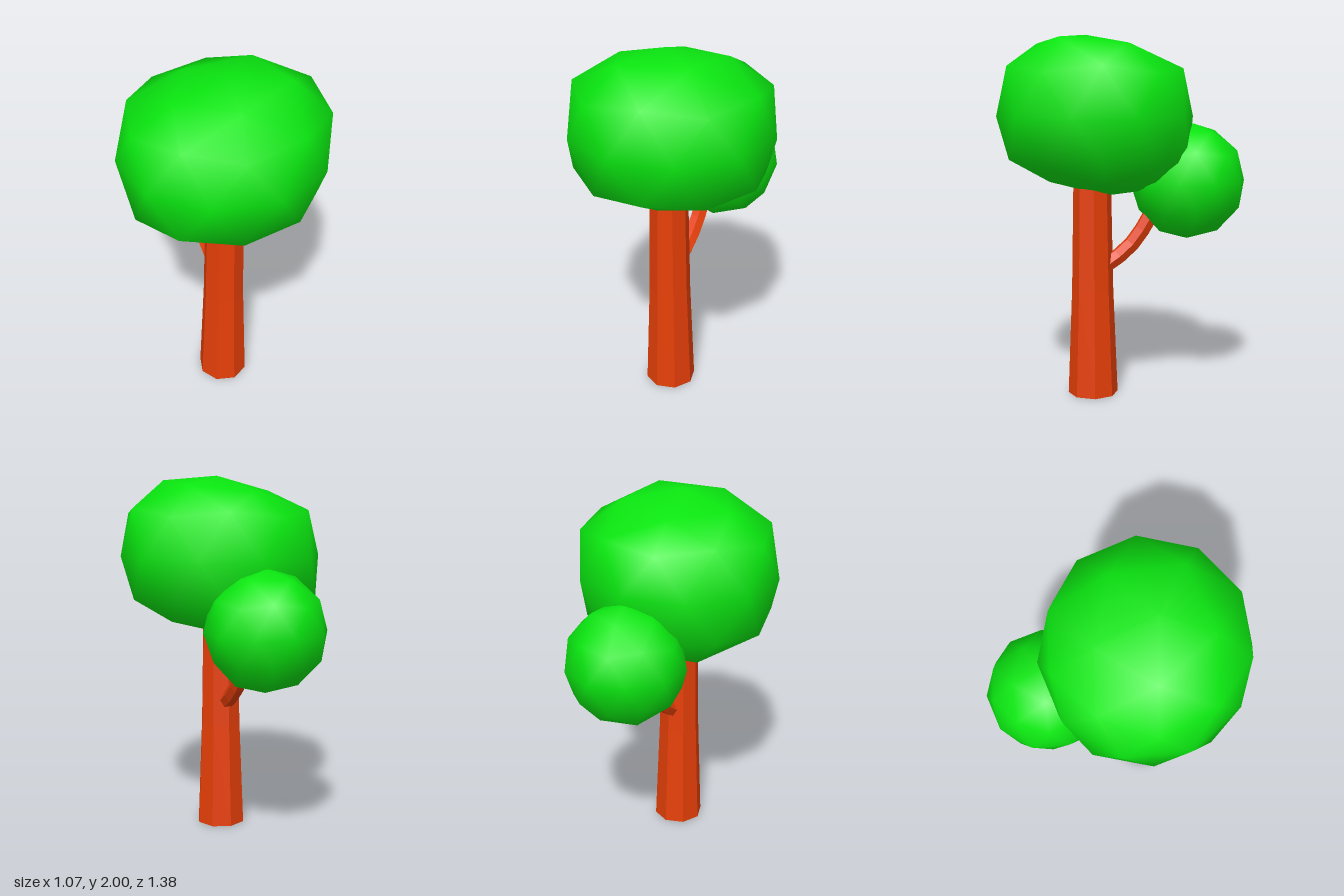
import * as THREE from 'three';
import { mergeVertices } from 'three/addons/utils/BufferGeometryUtils.js';

const leaf = new THREE.MeshStandardMaterial({ color: 0x0ae610 });
const bark = new THREE.MeshStandardMaterial({ color: 0xe63f08, flatShading: true });

// Low-poly ball with a vertex at the top; shape(v) moves each point of the unit ball
function foliage(name, scale, position, shape) {
  let geo = new THREE.IcosahedronGeometry(1, 1);
  geo.deleteAttribute('normal');
  geo.deleteAttribute('uv');
  geo = mergeVertices(geo, 1e-4);
  geo.rotateX(-Math.atan((1 + Math.sqrt(5)) / 2));
  geo.rotateY(-Math.PI / 2);
  const p = geo.attributes.position;
  const v = new THREE.Vector3();
  for (let i = 0; shape && i < p.count; i++) {
    shape(v.fromBufferAttribute(p, i));
    p.setXYZ(i, v.x, v.y, v.z);
  }
  geo.scale(...scale);
  geo.computeVertexNormals();
  const mesh = new THREE.Mesh(geo, leaf);
  mesh.name = name;
  mesh.position.set(...position);
  return mesh;
}

// Fuller shoulders, lopsided: cut away at the top back and the bottom front
function crownShape(v) {
  const { x, y, z } = v;
  const lean = (x + z) * y;
  const flat = 1 - y * y;
  const wide = 1 + 0.32 * y * y * flat + 0.04 * lean;
  v.x = x * wide;
  v.z = z * wide + 0.1 * y ** 5;
  v.y = y * (1 + 0.25 * flat * flat + 0.2 * lean * y * y);
}

export function createModel() {
  const tree = new THREE.Group();
  tree.name = 'tree';

  // Eight-sided trunk, flaring towards the ground
  const profile = [[0, 0], [0.14, 0], [0.116, 0.6], [0.105, 1.17], [0, 1.17]]
    .map(([r, y]) => new THREE.Vector2(r, y));
  const trunk = new THREE.Mesh(new THREE.LatheGeometry(profile, 8), bark);
  trunk.name = 'trunk';
  trunk.position.set(-0.005, 0, 0.17);
  tree.add(trunk);

  // Curved branch rising backwards into the small foliage ball
  const path = new THREE.CatmullRomCurve3([
    [0.1, 0.73], [0.04, 0.77], [-0.05, 0.85], [-0.13, 0.965], [-0.2, 1.1],
  ].map(([z, y]) => new THREE.Vector3(-0.005, y, z)));
  const branch = new THREE.Mesh(new THREE.TubeGeometry(path, 5, 0.046, 6), bark);
  branch.name = 'branch';
  tree.add(branch);

  tree.add(
    foliage('crown', [0.56, 0.4375, 0.54], [0, 1.5625, 0.15], crownShape),
    foliage('smallFoliage', [0.327, 0.327, 0.325], [-0.018, 1.203, -0.365]),
  );
  return tree;
}
